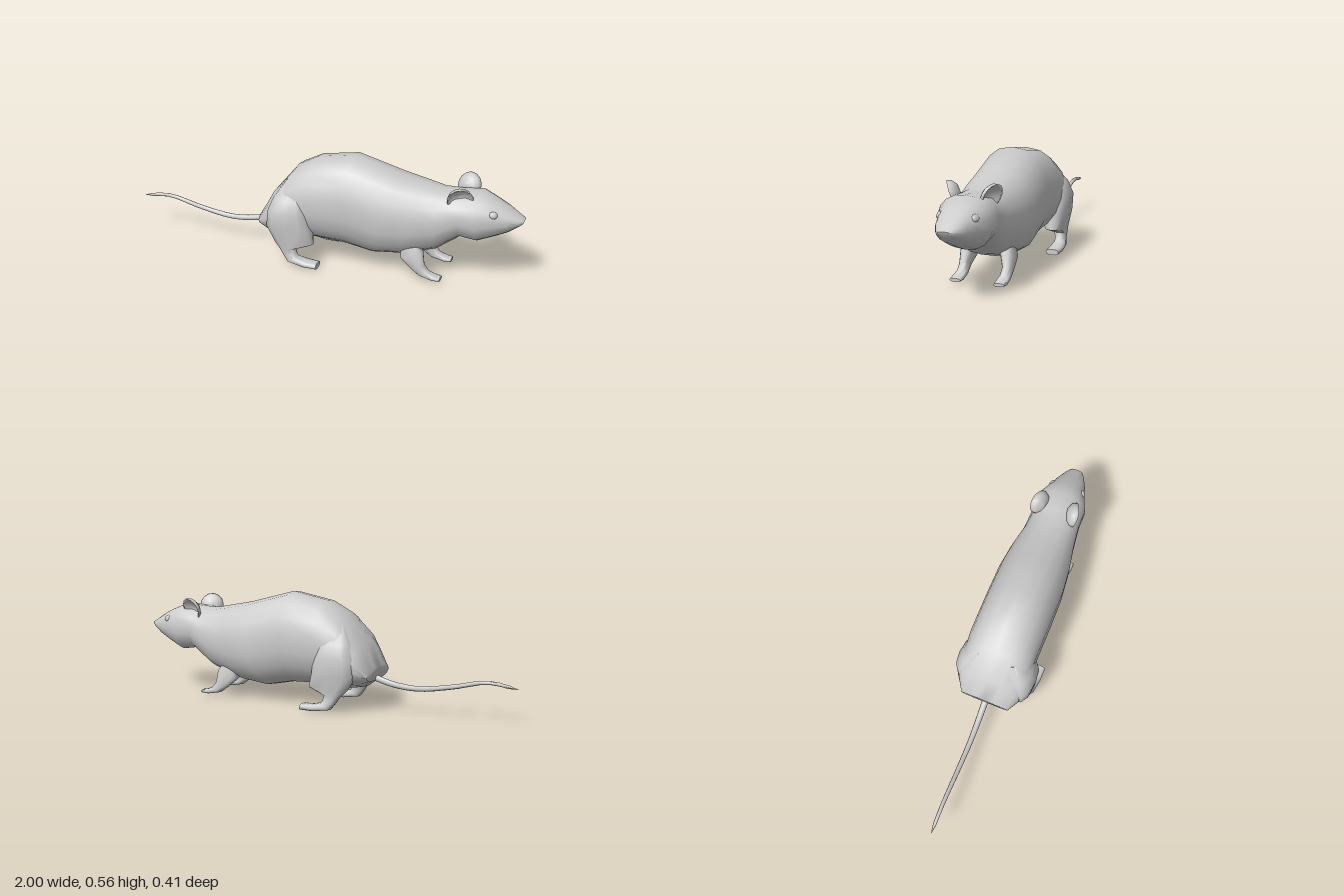
import * as THREE from 'three';
import { toCreasedNormals } from 'three/addons/utils/BufferGeometryUtils.js';

const material = new THREE.MeshStandardMaterial({ color: 0xcccccc });
const thinMaterial = new THREE.MeshStandardMaterial({ color: 0xcccccc, side: THREE.DoubleSide });

// Skin through closed rings. Each ring spans two side-profile points,
// [x0, y0, x1, y1, centre z, half width]; power below 1 makes it boxier.
function loft(rings, sides, power, crease) {
  const pos = [], index = [];
  const soft = (v) => Math.sign(v) * Math.pow(Math.abs(v), power);
  for (const [x0, y0, x1, y1, z, w] of rings) {
    for (let j = 0; j < sides; j++) {
      const a = (j / sides) * Math.PI * 2;
      const c = soft(Math.cos(a)) / 2, s = soft(Math.sin(a));
      pos.push((x0 + x1) / 2 + c * (x1 - x0), (y0 + y1) / 2 + c * (y1 - y0), z - s * w);
    }
  }
  for (let i = 0; i < rings.length - 1; i++) {
    for (let j = 0; j < sides; j++) {
      const k = (j + 1) % sides, a = i * sides, b = a + sides;
      index.push(a + j, b + j, a + k, a + k, b + j, b + k);
    }
  }
  // end caps
  const last = (rings.length - 1) * sides;
  for (let j = 1; j < sides - 1; j++) {
    index.push(0, j, j + 1, last, last + j + 1, last + j);
  }
  const geo = new THREE.BufferGeometry();
  geo.setAttribute('position', new THREE.Float32BufferAttribute(pos, 3));
  geo.setIndex(index);
  return toCreasedNormals(geo, crease);
}

export function createModel() {
  const group = new THREE.Group();
  const add = (name, geo, mat = material) => {
    const mesh = new THREE.Mesh(geo, mat);
    mesh.name = name;
    group.add(mesh);
    return mesh;
  };

  // Body and head, rump to nose
  add('body', loft([
    [-0.295, 0.15, -0.307, 0.215, -0.005, 0.125],
    [-0.25, 0.115, -0.24, 0.335, -0.005, 0.162],
    [-0.17, 0.1, -0.13, 0.47, -0.005, 0.175],
    [-0.05, 0.11, -0.03, 0.523, -0.01, 0.177],
    [0.14, 0.1, 0.16, 0.557, -0.012, 0.177],
    [0.27, 0.073, 0.395, 0.49, -0.022, 0.177],
    [0.43, 0.09, 0.5, 0.468, -0.025, 0.163],
    [0.59, 0.14, 0.6, 0.447, -0.027, 0.138],
    [0.705, 0.228, 0.69, 0.447, -0.03, 0.128],
    [0.785, 0.215, 0.785, 0.457, -0.035, 0.13],
    [0.87, 0.25, 0.86, 0.425, -0.035, 0.095],
    [0.93, 0.28, 0.91, 0.4, -0.033, 0.075],
    [0.975, 0.313, 0.97, 0.362, -0.033, 0.048],
    [0.992, 0.33, 0.997, 0.346, -0.033, 0.03],
  ], 18, 0.88, 1.0));

  // Tapered tail
  const path = new THREE.CatmullRomCurve3([
    [-0.27, 0.165, -0.005], [-0.38, 0.135, 0], [-0.51, 0.125, 0.006],
    [-0.685, 0.152, 0.011], [-0.856, 0.19, 0.016], [-1, 0.172, 0.02],
  ].map((p) => new THREE.Vector3(...p)));
  const tailRings = [];
  for (let i = 0; i <= 16; i++) {
    const t = i / 16, p = path.getPoint(t), d = path.getTangent(t);
    const r = i === 16 ? 0.001 : 0.017 - 0.009 * t;
    tailRings.push([p.x + d.y * r, p.y - d.x * r, p.x - d.y * r, p.y + d.x * r, p.z, r]);
  }
  add('tail', loft(tailRings, 8, 1, 1.2));

  // Cupped ear profile
  const earProfile = [[0, -0.028], [0.035, -0.023], [0.056, -0.007], [0.063, 0.012],
    [0.053, 0.008], [0.03, -0.01], [0, -0.015]].map((p) => new THREE.Vector2(...p));

  for (const s of [1, -1]) {
    const side = s > 0 ? 'left' : 'right';
    const at = (centre, offset) => centre + s * offset;

    // Hind leg: thigh sunk into the flank, shank and long foot
    const hind = (dz) => at(-0.003, dz);
    add(side + 'HindLeg', loft([
      [-0.16, 0.42, -0.08, 0.42, hind(0.08), 0.03],
      [-0.215, 0.34, -0.045, 0.34, hind(0.105), 0.075],
      [-0.245, 0.27, -0.025, 0.27, hind(0.115), 0.09],
      [-0.25, 0.19, -0.012, 0.19, hind(0.125), 0.073],
      [-0.205, 0.11, 0.0, 0.118, hind(0.143), 0.045],
      [-0.17, 0.075, -0.09, 0.085, hind(0.154), 0.03],
      [-0.15, 0.045, -0.085, 0.06, hind(0.158), 0.026],
      [-0.125, 0.014, -0.075, 0.045, hind(0.162), 0.03],
      [-0.04, 0, -0.03, 0.034, hind(0.163), 0.035],
      [0.03, 0, 0.03, 0.03, hind(0.163), 0.033],
    ], 12, 0.75, 0.9));

    // Front leg and paw
    const fore = (dz) => at(-0.022, dz);
    add(side + 'FrontLeg', loft([
      [0.42, 0.2, 0.5, 0.21, fore(0.075), 0.03],
      [0.43, 0.1, 0.542, 0.14, fore(0.098), 0.034],
      [0.48, 0.058, 0.552, 0.078, fore(0.106), 0.024],
      [0.53, 0.022, 0.572, 0.05, fore(0.106), 0.024],
      [0.595, 0.01, 0.6, 0.036, fore(0.107), 0.029],
      [0.635, 0.012, 0.635, 0.028, fore(0.107), 0.026],
    ], 12, 0.7, 0.9));

    // Ear, opening outward and slightly forward
    const ear = add(side + 'Ear', new THREE.LatheGeometry(earProfile, 14).rotateX(s * Math.PI / 2), thinMaterial);
    ear.position.set(0.7, 0.442, at(-0.034, 0.086));
    ear.rotation.set(s * 0.36, s * 0.33, 0);

    // Eye
    const eye = add(side + 'Eye', new THREE.SphereGeometry(0.02, 12, 8));
    eye.scale.set(1, 0.85, 0.5);
    eye.position.set(0.862, 0.38, at(-0.034, 0.084));
    eye.rotation.set(-s * 0.5, s * 0.45, 0);
  }
  return group;
}
